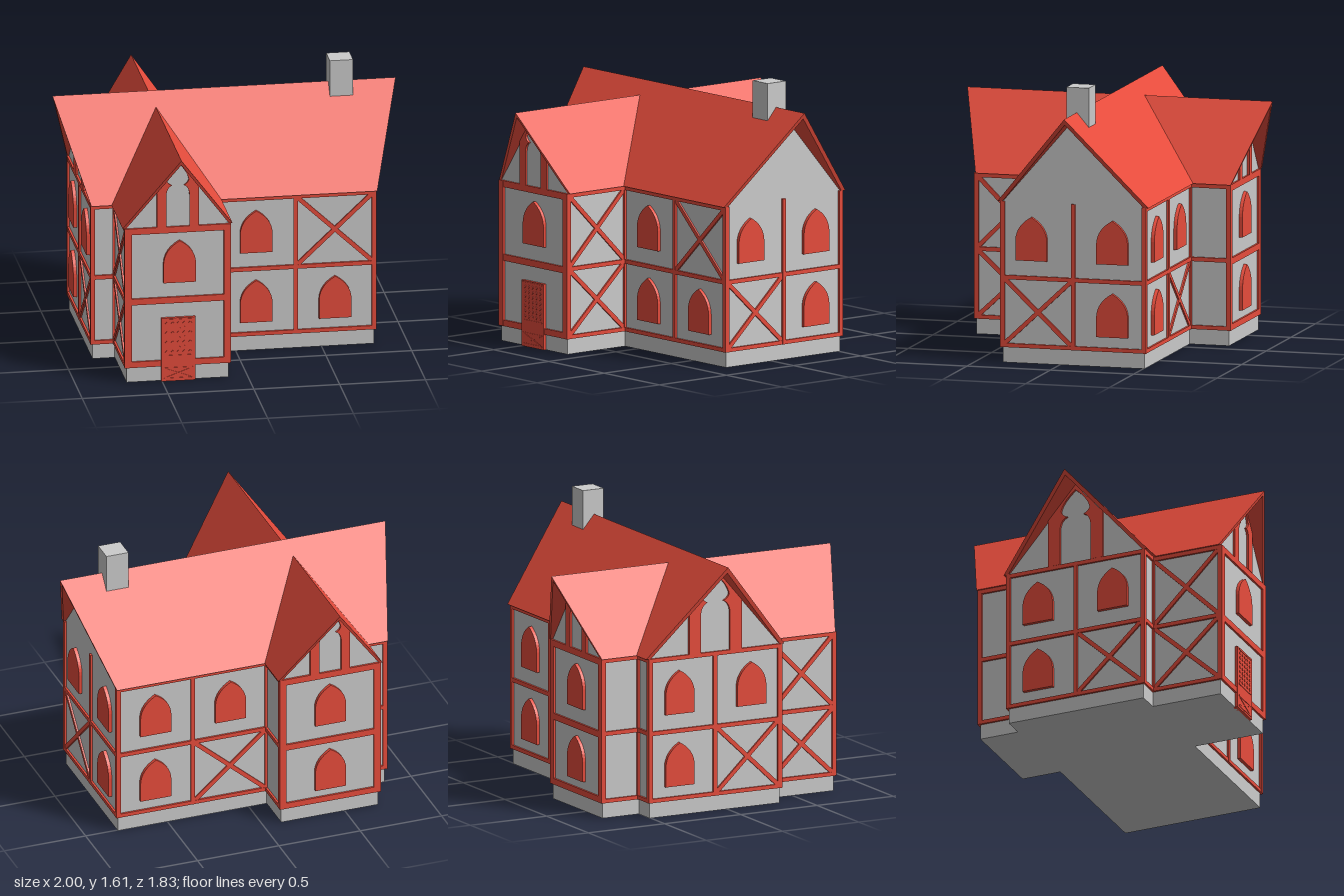
import * as THREE from 'three';

const grey = new THREE.MeshStandardMaterial({ color: 0xcccccc });
const red = new THREE.MeshStandardMaterial({ color: 0xe74c3c });
const OUT = 0.013; // how far the timbers stand proud of the walls
const EAVE = 0.94, BASE = 0.09;

function add(parent, name, geometry, material) {
  const mesh = new THREE.Mesh(geometry, material);
  mesh.name = name;
  parent.add(mesh);
  return mesh;
}

function box(parent, name, material, [x0, x1], [y0, y1], [z0, z1]) {
  const mesh = add(parent, name, new THREE.BoxGeometry(x1 - x0, y1 - y0, z1 - z0), material);
  mesh.position.set((x0 + x1) / 2, (y0 + y1) / 2, (z0 + z1) / 2);
  return mesh;
}

const polygon = (pts) => new THREE.Shape(pts.map(([x, y]) => new THREE.Vector2(x, y)));
const extrude = (shape, depth) =>
  new THREE.ExtrudeGeometry(shape, { depth, bevelEnabled: false, curveSegments: 8 });

// Gabled block running along local z from z0 to z1
function gabledBody(parent, name, half, apex, z0, z1) {
  const shape = polygon([[-half, BASE], [half, BASE], [half, EAVE], [0, apex], [-half, EAVE]]);
  add(parent, name, extrude(shape, z1 - z0).translate(0, 0, z0), grey);
}

// Folded roof slab whose ridge reaches further out than its eaves
function roof(parent, name, half, ridge, t, eaveEnds, ridgeEnds) {
  const rise = ridge - EAVE, inner = rise * (1 - t / half);
  const geo = extrude(polygon([[-half, 0], [-half + t, 0], [0, inner], [half - t, 0], [half, 0], [0, rise]]), 1);
  const p = geo.attributes.position;
  for (let i = 0; i < p.count; i++) {
    const end = p.getZ(i) > 0.5 ? 1 : 0;
    p.setZ(i, THREE.MathUtils.lerp(eaveEnds[end], ridgeEnds[end], p.getY(i) / rise));
  }
  geo.translate(0, EAVE, 0);
  geo.computeVertexNormals();
  add(parent, name, geo, red);
}

// Pointed-arch window panel
function archWindow(parent, u, y) {
  const w = 0.094, s = new THREE.Shape();
  s.moveTo(-w, 0);
  s.lineTo(w, 0);
  s.lineTo(w, 0.12);
  s.quadraticCurveTo(w * 0.95, 0.205, 0, 0.255);
  s.quadraticCurveTo(-w * 0.95, 0.205, -w, 0.12);
  s.closePath();
  add(parent, 'window', extrude(s, 0.03), red).position.set(u, y, -0.01);
}

// Diagonal cross in a rectangular panel
function cross(parent, u0, u1, y0, y1, width, z, name = 'crossBrace') {
  const dx = u1 - u0, dy = y1 - y0;
  for (const s of [-1, 1]) {
    const bar = add(parent, name, new THREE.BoxGeometry(Math.hypot(dx, dy), width, 0.02), red);
    bar.position.set((u0 + u1) / 2, (y0 + y1) / 2, z);
    bar.rotation.z = s * Math.atan2(dy, dx);
  }
}

// Gable posts with cusped arch between them
function tracery(parent, sx, sy) {
  const g = new THREE.Group();
  g.name = 'gableTracery';
  for (const s of [-1, 1]) {
    const h = new THREE.Shape();
    h.moveTo(s * 0.122, 0);
    h.lineTo(s * 0.122, 0.247);
    h.lineTo(0, 0.417);
    h.lineTo(0, 0.39);
    h.quadraticCurveTo(s * 0.055, 0.335, s * 0.064, 0.285);
    h.quadraticCurveTo(s * 0.058, 0.262, s * 0.036, 0.252);
    h.quadraticCurveTo(s * 0.065, 0.24, s * 0.068, 0.19);
    h.lineTo(s * 0.068, 0);
    h.closePath();
    add(g, 'gablePost', extrude(h, OUT + 0.005), red).position.z = -0.005;
  }
  g.position.y = EAVE;
  g.scale.set(sx, sy, 1);
  parent.add(g);
}

// Timber framing of one wall: local x runs along the wall, local z points outward
function facade(parent, name, x, z, turn, half, o = {}) {
  const g = new THREE.Group();
  g.name = name;
  g.position.set(x, 0, z);
  g.rotation.y = turn * Math.PI / 2;
  parent.add(g);
  const { w = 0.027, top = true, posts = [], windows = [], braces = [] } = o;
  const deep = [-0.01, OUT], e = half + OUT;
  box(g, 'cornerPost', red, [-e, -half + w - OUT], [BASE, EAVE], deep);
  box(g, 'cornerPost', red, [half - w + OUT, e], [BASE, EAVE], deep);
  for (const u of posts) box(g, 'post', red, [u - 0.012, u + 0.012], [BASE, EAVE], deep);
  const rails = [[BASE, BASE + w * 0.85], [0.51 - w * 0.9, 0.51]];
  if (top) rails.push([EAVE - w * 0.9, EAVE]);
  for (const r of rails) box(g, 'rail', red, [-e, e], r, [-0.01, OUT - 0.001]);
  for (const [u, y] of windows) archWindow(g, u, y);
  for (const [u0, u1, y0, y1] of braces) cross(g, u0, u1, y0, y1, 0.025, OUT - 0.013);
  return g;
}

export function createModel() {
  const house = new THREE.Group();
  house.name = 'timberFramedHouse';

  // Footprints
  const X0 = -0.835, X1 = 0.805, Z0 = -0.5075, Z1 = 0.3425;
  const W0 = -0.705, W1 = -0.11, F0 = -0.745, F1 = 0.77;
  const zc = (Z0 + Z1) / 2, wc = (W0 + W1) / 2;
  box(house, 'mainFoundation', grey, [X0, X1], [0, BASE], [Z0, Z1]);
  box(house, 'wingFoundation', grey, [W0, W1], [0, BASE], [F0, F1]);

  // Main range, built along z then turned to run along x
  const main = new THREE.Group();
  main.name = 'mainRange';
  main.rotation.y = Math.PI / 2;
  main.position.z = zc;
  gabledBody(main, 'mainWalls', (Z1 - Z0) / 2, 1.433, X0, X1);
  roof(main, 'mainRoof', 0.453, 1.465, 0.03, [-0.845, 0.82], [-1, 1]);

  // Cross wing
  const wing = new THREE.Group();
  wing.name = 'crossWing';
  wing.position.x = wc;
  gabledBody(wing, 'wingWalls', (W1 - W0) / 2, 1.358, F0, F1);
  roof(wing, 'wingRoof', 0.32, 1.387, 0.021, [-0.76, 0.77], [-0.918, 0.913]);
  house.add(main, wing);

  // Chimney
  box(house, 'chimney', grey, [0.607, 0.742], [1.3, 1.61], [-0.155, -0.02]);

  // Long walls of the main range
  const LOW = 0.175, HIGH = 0.6;
  const lower = [0.1, 0.5], upper = [0.5, 0.93];
  const rc = (W1 + X1) / 2, rh = (X1 - W1) / 2;
  const lc = (X0 + W0) / 2, lh = (W0 - X0) / 2;
  facade(house, 'frontWall', rc, Z1, 0, rh, {
    posts: [0], windows: [[-0.23, HIGH], [-0.23, LOW], [0.23, LOW]], braces: [[0, rh, ...upper]],
  });
  facade(house, 'backWall', rc, Z0, 2, rh, {
    posts: [0], windows: [[-0.23, HIGH], [-0.23, LOW], [0.23, HIGH]], braces: [[0, rh, ...lower]],
  });
  facade(house, 'frontWallStrip', lc, Z1, 0, lh);
  facade(house, 'backWallStrip', lc, Z0, 2, lh);

  // End walls of the main range
  const eh = (Z1 - Z0) / 2;
  facade(house, 'leftEndWall', X1, zc, 1, eh, {
    top: false, posts: [0],
    windows: [[-0.25, HIGH], [0.235, HIGH], [0.235, LOW]], braces: [[-eh, 0, ...lower]],
  });
  const rightEnd = facade(house, 'rightEndWall', X0, zc, -1, eh, {
    posts: [0],
    windows: [[-0.235, HIGH], [-0.235, LOW], [0.235, HIGH]], braces: [[0, eh, ...lower]],
  });
  tracery(rightEnd, 1.41, 1.17);

  // Wing gable walls
  const wh = (W1 - W0) / 2;
  const front = facade(house, 'wingFrontWall', wc, F1, 0, wh, { w: 0.042, windows: [[0.01, HIGH]] });
  const back = facade(house, 'wingBackWall', wc, F0, 2, wh, { w: 0.042, windows: [[0, HIGH], [0, LOW]] });
  tracery(front, 1, 1);
  tracery(back, 1, 1);

  // Wing side walls, mirrored left and right
  for (const [x, turn] of [[W1, 1], [W0, -1]]) {
    const h = (F1 - Z1) / 2;
    facade(house, 'wingSideFront', x, (F1 + Z1) / 2, turn, h, {
      braces: [[-h, h, ...lower], [-h, h, ...upper]],
    });
    facade(house, 'wingSideBack', x, (F0 + Z0) / 2, turn, (Z0 - F0) / 2);
  }

  // Carved door
  const door = new THREE.Group();
  door.name = 'door';
  door.position.set(-0.405, 0, F1);
  house.add(door);
  box(door, 'doorLeaf', red, [-0.1, 0.1], [0, 0.385], [-0.01, 0.018]);
  for (const y of [0.012, 0.075, 0.15, 0.37]) box(door, 'doorRail', red, [-0.085, 0.085], [y, y + 0.008], [0.01, 0.021]);
  cross(door, -0.07, 0.07, 0.022, 0.073, 0.007, 0.011, 'doorCross');
  for (let r = 0; r < 7; r++) for (let c = 0; c < 5; c++) {
    const stud = add(door, 'doorCarving', new THREE.BoxGeometry(0.014, 0.014, 0.01), red);
    stud.position.set((c - 2) * 0.034, 0.178 + r * 0.029, 0.016);
    stud.rotation.z = Math.PI / 4;
  }
  return house;
}
